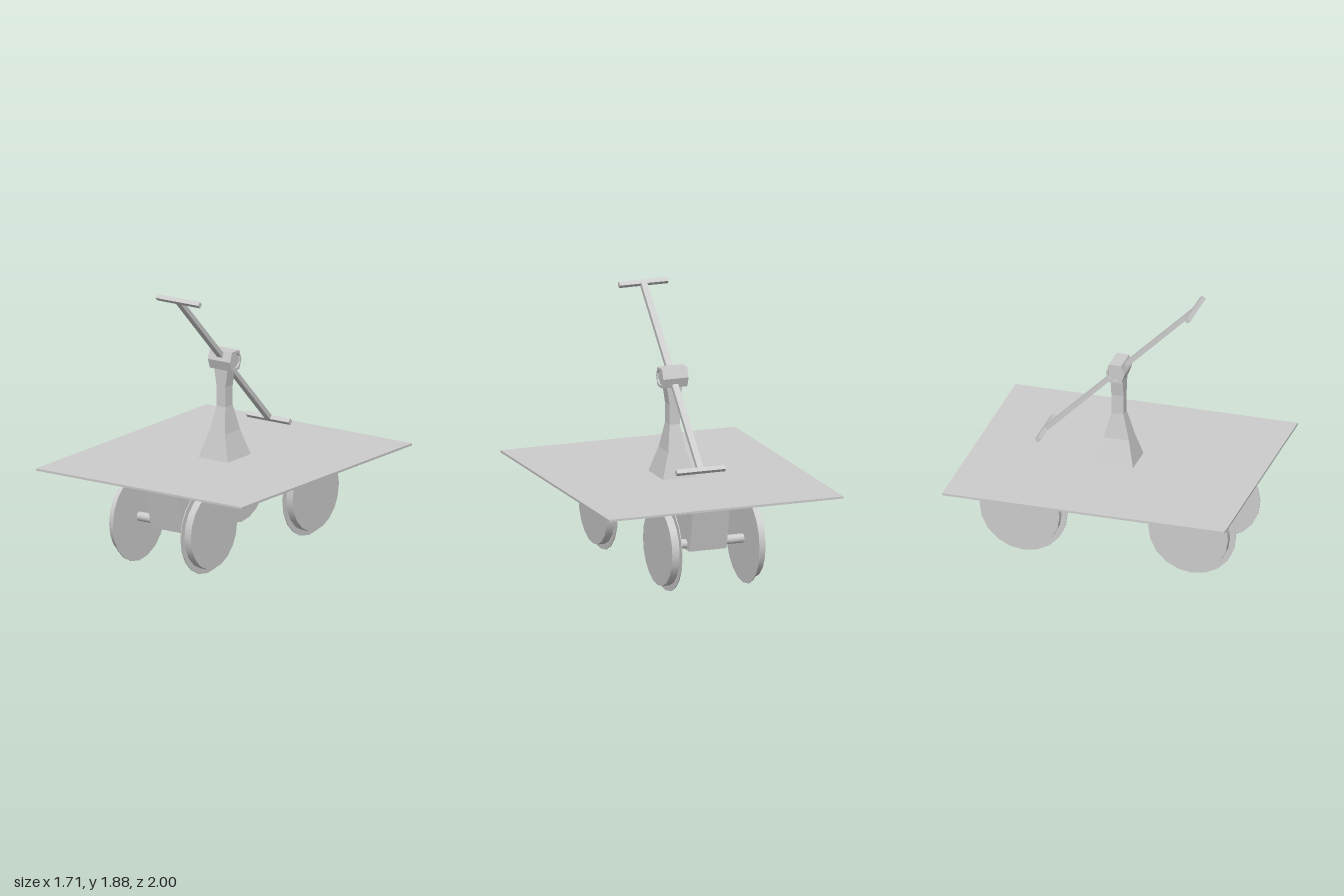
import * as THREE from 'three';

const grey = new THREE.MeshStandardMaterial({ color: 0xcccccc });
const CENTRE_Z = -0.007; // pedestal and hub sit slightly behind the middle

function add(parent, name, geometry, x = 0, y = 0, z = 0) {
  const mesh = new THREE.Mesh(geometry, grey);
  mesh.name = name;
  mesh.position.set(x, y, z);
  parent.add(mesh);
  return mesh;
}

// Box column following sections [y, halfWidth, halfDepth], from bottom to top
function taperedBox(sections) {
  const n = sections.length - 1;
  const box = new THREE.BoxGeometry(2, 1, 2, 1, n, 1);
  const p = box.attributes.position;
  for (let i = 0; i < p.count; i++) {
    const [y, w, d] = sections[Math.round((p.getY(i) + 0.5) * n)];
    p.setXYZ(i, p.getX(i) * w, y, p.getZ(i) * d);
  }
  const flat = box.toNonIndexed();
  flat.computeVertexNormals();
  return flat;
}

// Cylinder lying along x
function crossCylinder(radius, length, sides) {
  return new THREE.CylinderGeometry(radius, radius, length, sides).rotateZ(Math.PI / 2);
}

// Axle with its gearbox and a pair of flanged wheels
function wheelSet(name, z, boxZ) {
  const set = new THREE.Group();
  set.name = name;
  const y = 0.311;
  add(set, 'axle', crossCylinder(0.032, 0.57, 16), 0, y, z);
  add(set, 'axleBox', taperedBox([[0.27, 0.135, 0.06], [0.632, 0.135, 0.136]]), 0, 0, boxZ);
  for (const side of [1, -1]) {
    add(set, 'wheelFlange', crossCylinder(0.311, 0.006, 20), side * 0.283, y, z);
    add(set, 'wheelTread', crossCylinder(0.271, 0.058, 20), side * 0.311, y, z);
  }
  return set;
}

// Six-sided pivot block with an eight-sided bore, extruded along x
function hubGeometry() {
  const shape = new THREE.Shape([
    [0.067, 0], [0.043, 0.067], [-0.043, 0.067],
    [-0.067, 0], [-0.043, -0.067], [0.043, -0.067],
  ].map(([a, b]) => new THREE.Vector2(a, b)));
  const bore = [];
  for (let i = 0; i < 8; i++) {
    const a = -((i + 0.5) / 8) * Math.PI * 2;
    bore.push(new THREE.Vector2(0.055 * Math.cos(a), 0.055 * Math.sin(a)));
  }
  shape.holes.push(new THREE.Path(bore));
  const g = new THREE.ExtrudeGeometry(shape, { depth: 0.184, bevelEnabled: false });
  return g.translate(0, 0, -0.092).rotateY(Math.PI / 2);
}

export function createModel() {
  const model = new THREE.Group();
  model.name = 'handcar';

  add(model, 'deck', new THREE.BoxGeometry(1.71, 0.015, 2), 0, 0.637, 0);
  model.add(wheelSet('frontWheels', 0.597, 0.607));
  model.add(wheelSet('rearWheels', -0.597, -0.605));

  // Waisted pedestal carrying the pivot
  add(model, 'pedestal', taperedBox([
    [0.644, 0.122, 0.136],
    [0.82, 0.065, 0.09],
    [1.0, 0.037, 0.043],
    [1.14, 0.037, 0.043],
    [1.265, 0.056, 0.043],
  ]), 0, 0, CENTRE_Z);
  add(model, 'pivotHub', hubGeometry(), 0, 1.326, CENTRE_Z);
  const pin = crossCylinder(0.056, 0.16, 8).rotateX(Math.PI / 8);
  add(model, 'pivotPin', pin, 0, 1.326, CENTRE_Z);

  // Rocking beam with a grip at each end, raised at the front
  const beam = new THREE.Group();
  beam.name = 'pumpBeam';
  beam.position.set(0, 1.323, 0.002);
  beam.rotation.x = -Math.PI / 4;
  add(beam, 'beamArm', new THREE.BoxGeometry(0.044, 0.032, 1.5));
  for (const end of [1, -1]) {
    add(beam, 'handGrip', new THREE.BoxGeometry(0.354, 0.032, 0.032), 0, 0, end * 0.749);
  }
  model.add(beam);

  return model;
}
